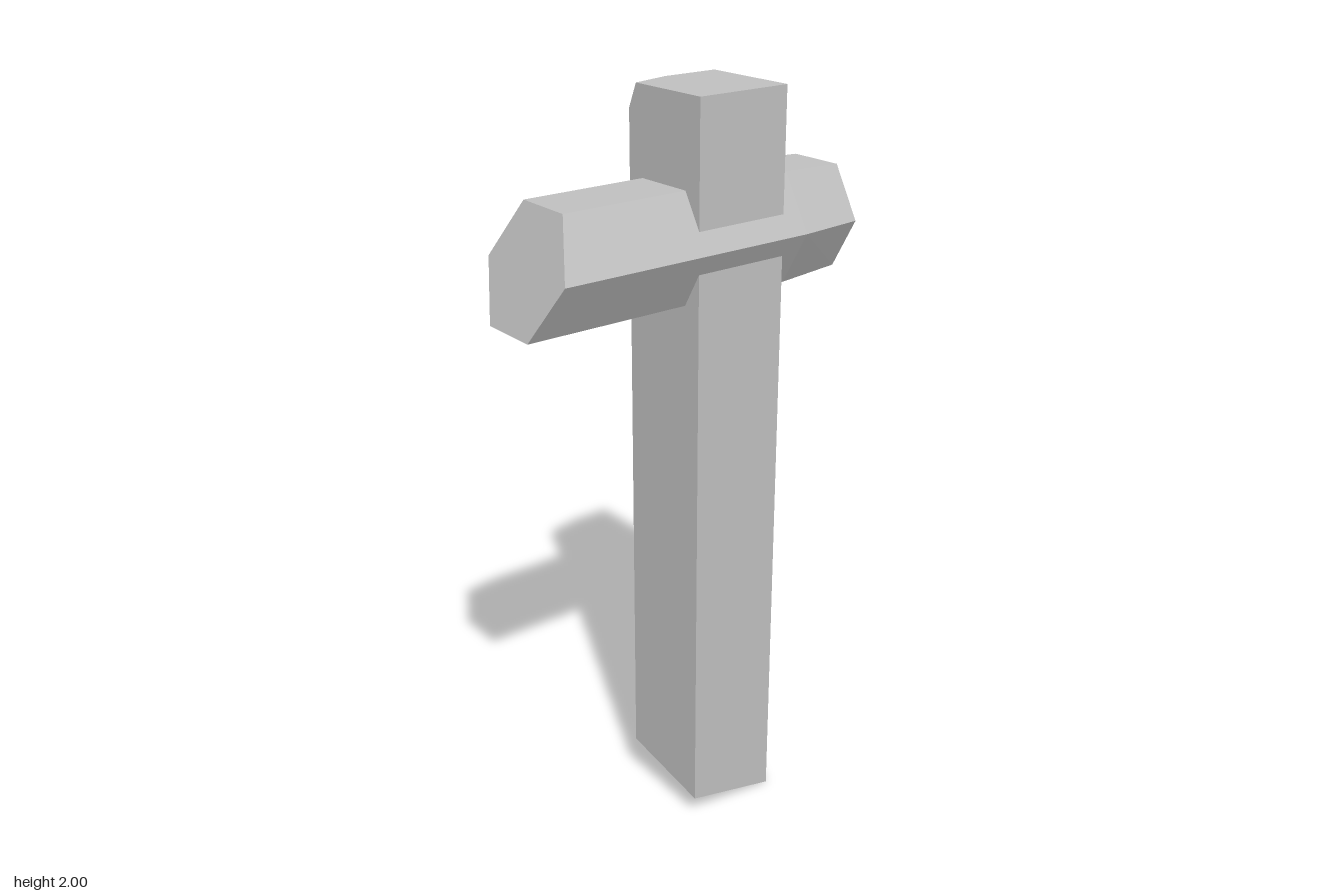
import * as THREE from 'three';
import { ConvexGeometry } from 'three/addons/geometries/ConvexGeometry.js';

const V = (x, y, z) => new THREE.Vector3(x, y, z);

// Six corners of a hexagonal section; xAt gives the x of the cut at each corner
function hexRing(centreY, radius, halfHeight, xAt) {
  const corners = [];
  for (let i = 0; i < 6; i++) {
    const a = (i * Math.PI) / 3;
    const dy = (Math.sin(a) / Math.sin(Math.PI / 3)) * halfHeight;
    const z = Math.cos(a) * radius;
    corners.push(V(xAt(dy, z), centreY + dy, z - 0.0015));
  }
  return corners;
}

export function createModel() {
  const group = new THREE.Group();
  const grey = new THREE.MeshStandardMaterial({ color: 0xc0c0c0 });
  grey.name = 'plain grey';

  const addSolid = (name, points) => {
    const mesh = new THREE.Mesh(new ConvexGeometry(points), grey);
    mesh.name = name;
    group.add(mesh);
  };

  // Upright post: slanted foot, and one chipped corner at the top
  const x0 = -0.022, x1 = 0.247, z0 = -0.136, z1 = 0.134, top = 2;
  addSolid('post', [
    V(x1, 0, z1), V(x0, 0.062, z1), V(x1, 0.058, z0), V(x0, 0.12, z0),
    V(x1, top, z1), V(x0, top, z1), V(x1, top, z0),
    V(0.09, top, z0), V(x0, top, -0.108), V(x0, 1.937, z0),
  ]);

  // Hexagonal crossbar: slanted cut on one end, slight taper on the other
  addSolid('crossbar', [
    ...hexRing(1.632, 0.1665, 0.142, (dy, z) => -0.426 + 0.379 * dy - 0.036 * z),
    ...hexRing(1.632, 0.1665, 0.142, () => 0.3),
    ...hexRing(1.634, 0.1535, 0.133, () => 0.482),
  ]);

  return group;
}
